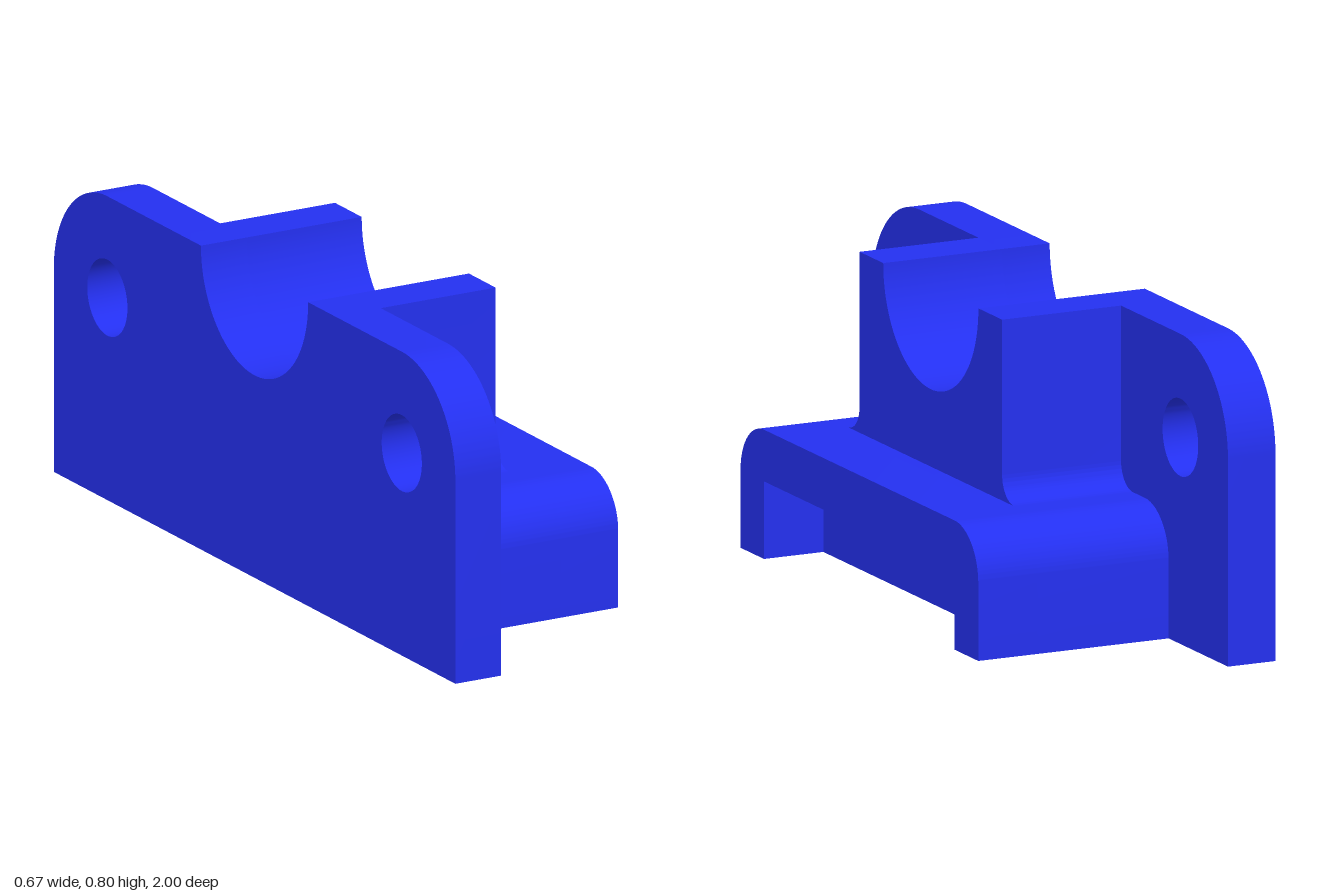
import * as THREE from 'three';
import { toCreasedNormals } from 'three/addons/utils/BufferGeometryUtils.js';

const TOP = 0.8, STEP = 1 / 3, BORE = 0.267;

// Extrude a side profile (drawn along z and y) from x0 to x1
function slab(name, shape, x0, x1, material) {
  const raw = new THREE.ExtrudeGeometry(shape, { depth: x1 - x0, bevelEnabled: false, curveSegments: 32 });
  raw.rotateY(Math.PI / 2).translate(x0, 0, 0);
  const mesh = new THREE.Mesh(toCreasedNormals(raw, 0.5), material);
  mesh.name = name;
  return mesh;
}

// Top edge from right to left, dipping through the half-round saddle
function saddleEdge(shape) {
  shape.lineTo(BORE, TOP);
  shape.absarc(0, TOP, BORE, 0, Math.PI, true);
}

function plateShape() {
  const r = 0.267, s = new THREE.Shape();
  s.moveTo(-1, 0);
  s.lineTo(1, 0);
  s.lineTo(1, TOP - r);
  s.absarc(1 - r, TOP - r, r, 0, Math.PI / 2, false);
  saddleEdge(s);
  s.lineTo(-1 + r, TOP);
  s.absarc(-1 + r, TOP - r, r, Math.PI / 2, Math.PI, false);
  s.closePath();
  for (const side of [-1, 1]) {
    s.holes.push(new THREE.Path().absarc(side * 0.733, 0.533, 0.1, 0, Math.PI * 2, true));
  }
  return s;
}

function blockShape() {
  const w = 0.4, f = 0.067, s = new THREE.Shape();
  s.moveTo(-w - f, STEP);
  s.lineTo(w + f, STEP);
  // concave fillets where the block meets the base
  s.absarc(w + f, STEP + f, f, -Math.PI / 2, -Math.PI, true);
  s.lineTo(w, TOP);
  saddleEdge(s);
  s.lineTo(-w, TOP);
  s.lineTo(-w, STEP + f);
  s.absarc(-w - f, STEP + f, f, 0, -Math.PI / 2, true);
  return s;
}

function baseShape(notched) {
  const w = 0.667, r = 0.133, n = 0.535, s = new THREE.Shape();
  s.moveTo(-w, 0);
  if (notched) {
    s.lineTo(-n, 0);
    s.lineTo(-n, 0.2);
    s.lineTo(n, 0.2);
    s.lineTo(n, 0);
  }
  s.lineTo(w, 0);
  s.lineTo(w, STEP - r);
  s.absarc(w - r, STEP - r, r, 0, Math.PI / 2, false);
  s.lineTo(-w + r, STEP);
  s.absarc(-w + r, STEP - r, r, Math.PI / 2, Math.PI, false);
  s.closePath();
  return s;
}

export function createModel() {
  const group = new THREE.Group();
  group.name = 'bearingBracket';
  const blue = new THREE.MeshStandardMaterial({ color: 0x2430f0 });
  group.add(
    slab('mountingPlate', plateShape(), -0.333, -0.2, blue),
    slab('saddleBlock', blockShape(), -0.2, 0.133, blue),
    slab('base', baseShape(false), -0.2, 0.167, blue),
    slab('notchedBaseEnd', baseShape(true), 0.167, 0.333, blue),
  );
  return group;
}
